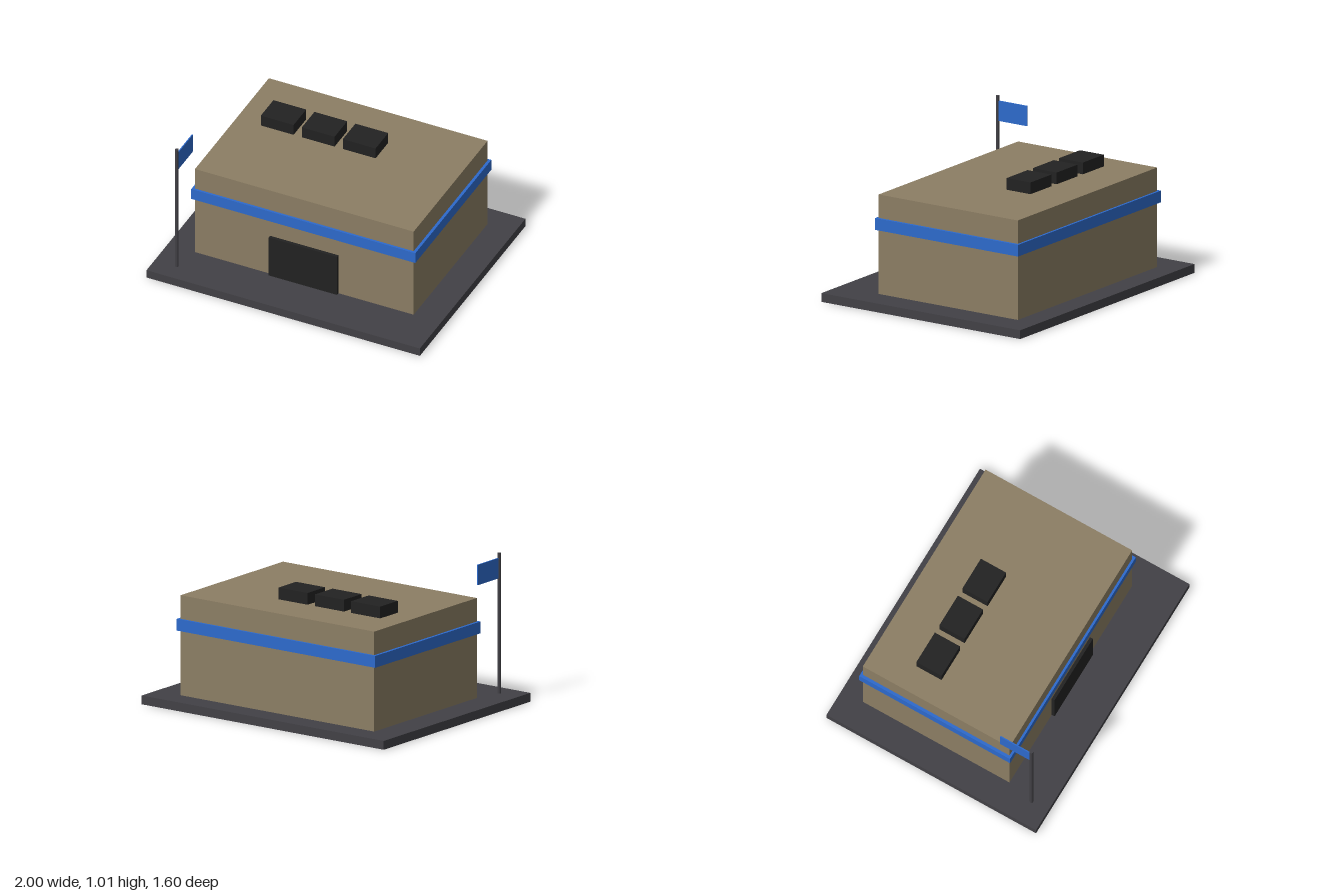
import * as THREE from 'three';

const material = (name, color, side = THREE.FrontSide) => {
  const m = new THREE.MeshStandardMaterial({ color, side });
  m.name = name;
  return m;
};

export function createModel() {
  const model = new THREE.Group();
  model.name = 'building';

  const tan = material('tanWall', 0x8c7e64);
  const blue = material('blueTrim', 0x2d6acc);
  const black = material('blackMetal', 0x222222);
  const grey = material('greyPaving', 0x424146);

  // Box given by its lower and upper bounds on each axis
  const box = (name, mat, [x0, x1], [y0, y1], [z0, z1]) => {
    const mesh = new THREE.Mesh(new THREE.BoxGeometry(x1 - x0, y1 - y0, z1 - z0), mat);
    mesh.position.set((x0 + x1) / 2, (y0 + y1) / 2, (z0 + z1) / 2);
    mesh.name = name;
    model.add(mesh);
    return mesh;
  };

  // Paved lot, main block and the trim band around it
  box('base', grey, [-1, 1], [0, 0.06], [-0.8, 0.8]);
  box('walls', tan, [-0.8, 0.8], [0.06, 0.74], [-0.64, 0.48]);
  box('trimBand', blue, [-0.82, 0.82], [0.5, 0.58], [-0.656, 0.496]);

  // Front door
  box('door', black, [-0.25, 0.25], [0.06, 0.37], [0.47, 0.502]);

  // Row of rooftop units
  for (let i = 0; i < 3; i++) {
    const x = -0.5 + i * 0.3;
    box('roofUnit' + (i + 1), black, [x - 0.12, x + 0.12], [0.74, 0.82], [-0.336, -0.144]);
  }

  // Flagpole at the front corner, flag trailing backwards
  const pole = new THREE.Mesh(new THREE.CylinderGeometry(0.012, 0.012, 0.955, 12), grey);
  pole.position.set(-0.84, 0.5375, 0.672);
  pole.name = 'flagpole';
  model.add(pole);
  box('flag', blue, [-0.844, -0.836], [0.843, 0.981], [0.435, 0.664]);

  return model;
}
